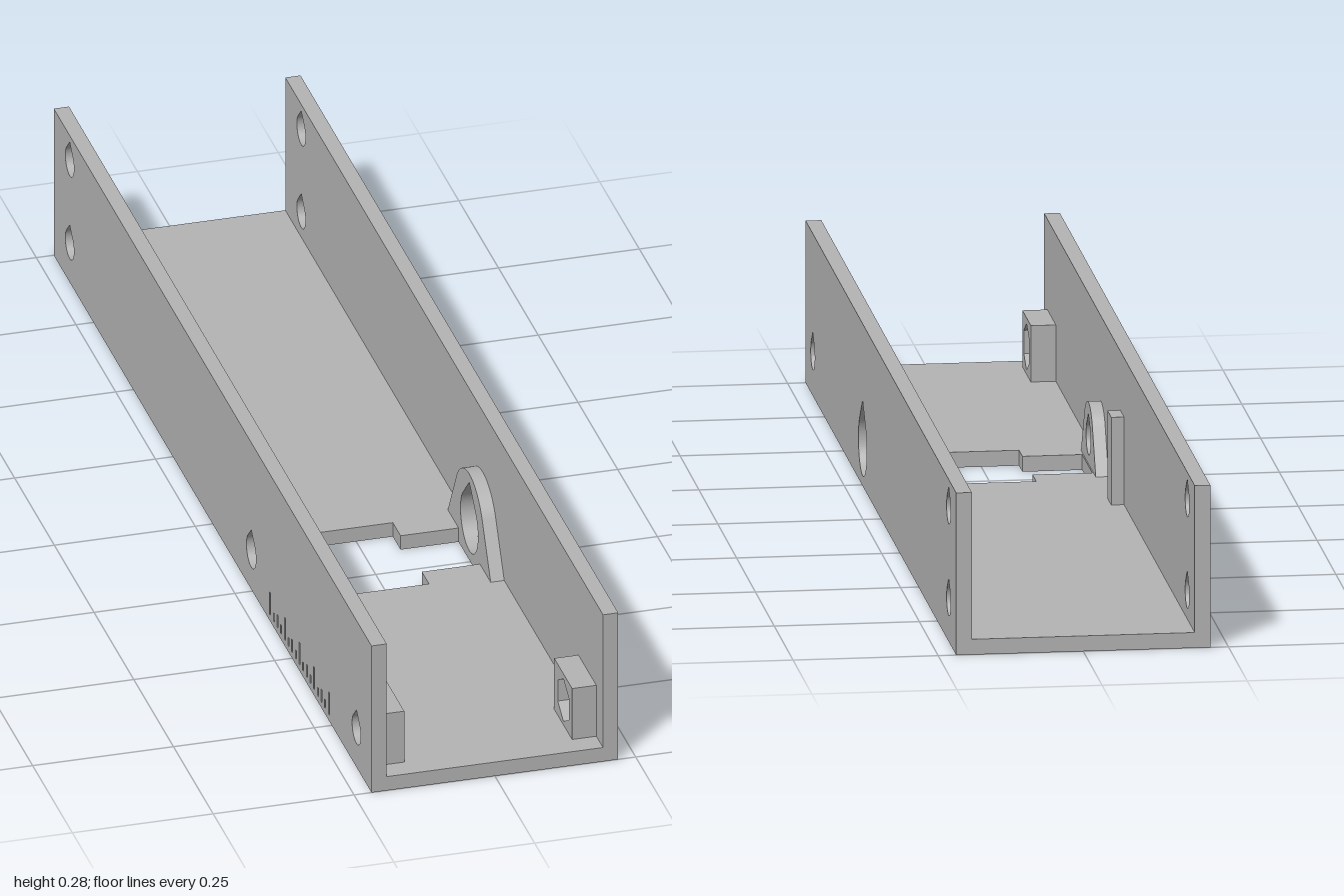
import * as THREE from 'three';

const HALF = 0.219, INNER = 0.192, HEIGHT = 0.285, FLOOR = 0.027;
const HOLE_Y = 0.073, PIVOT_Z = 0.243, MOUNT_Z = 0.9;

// Side profiles are drawn with u = -z and v = y, then extruded along x.
const polygon = (Type, points) => new Type(points.map(([u, v]) => new THREE.Vector2(u, v)));
const rect = (Type, u0, u1, v0, v1) => polygon(Type, [[u0, v0], [u1, v0], [u1, v1], [u0, v1]]);

// Round hole with a 45 degree pointed top
function teardrop(z, y, r) {
  const path = new THREE.Path();
  path.absarc(-z, y, r, Math.PI * 0.75, Math.PI * 2.25, false);
  path.lineTo(-z, y + r * Math.SQRT2);
  path.closePath();
  return path;
}

function hexagon(z, y, r) {
  return polygon(THREE.Path, Array.from({ length: 6 }, (_, i) => {
    const a = Math.PI / 6 + i * Math.PI / 3;
    return [-z + r * Math.cos(a), y + r * Math.sin(a)];
  }));
}

export function createModel() {
  const group = new THREE.Group();
  group.name = 'channelBracket';
  const grey = new THREE.MeshStandardMaterial({ color: 0xb3b3b3 });
  grey.name = 'grey plastic';

  function add(name, geometry) {
    const mesh = new THREE.Mesh(geometry, grey);
    mesh.name = name;
    group.add(mesh);
    return mesh;
  }

  function slab(name, shape, holes, x0, x1) {
    shape.holes.push(...holes);
    const geometry = new THREE.ExtrudeGeometry(shape, { depth: x1 - x0, bevelEnabled: false, curveSegments: 32 });
    return add(name, geometry.rotateY(Math.PI / 2).translate(x0, 0, 0));
  }

  // Floor with a stepped cross-shaped opening
  const floor = rect(THREE.Shape, -INNER, INNER, -1, 1);
  const z0 = PIVOT_Z - 0.067, z1 = PIVOT_Z + 0.067;
  const zA = PIVOT_Z - 0.116, zB = PIVOT_Z + 0.112;
  const s = 0.065, xl = -0.168, xr = INNER - 0.0005;
  floor.holes.push(polygon(THREE.Path, [
    [xl, z0], [-s, z0], [-s, zA], [s, zA], [s, z0], [xr, z0],
    [xr, z1], [s, z1], [s, zB], [-s, zB], [-s, z1], [xl, z1],
  ]));
  add('floor', new THREE.ExtrudeGeometry(floor, { depth: FLOOR, bevelEnabled: false })
    .rotateX(Math.PI / 2).translate(0, FLOOR, 0));

  // Side walls with mounting holes
  const wall = () => rect(THREE.Shape, -1, 1, 0, HEIGHT);
  const wallHoles = (pivotRadius) => [
    teardrop(MOUNT_Z + 0.005, HOLE_Y, 0.027),
    teardrop(-MOUNT_Z, HOLE_Y, 0.027),
    teardrop(-MOUNT_Z, 0.234, 0.027),
    teardrop(PIVOT_Z, HOLE_Y, pivotRadius),
  ];
  slab('leftWall', wall(), wallHoles(0.055), INNER, HALF);
  slab('rightWall', wall(), wallHoles(0.03), -HALF + 0.003, -INNER);

  // Outer skin of the right wall, engraved with a measuring scale
  const ticks = [];
  for (let i = 0; i <= 16; i++) {
    const z = 0.362 + i * 0.0231;
    const top = i % 4 === 0 ? 0.055 : i % 2 === 0 ? 0.036 : 0.028;
    ticks.push(rect(THREE.Path, -z - 0.003, -z + 0.003, 0.012, top));
  }
  slab('rightWallScale', wall(), [...wallHoles(0.03), ...ticks], -HALF, -HALF + 0.003);

  // Tapered bosses with rounded tops around the pivot holes
  function boss(name, r, holeRadius, base, x0, x1) {
    const u = -PIVOT_Z, foot = (r + (HOLE_Y - FLOOR) * 0.5) / Math.cos(Math.PI / 6);
    const shape = new THREE.Shape();
    shape.moveTo(u - foot, base);
    shape.lineTo(u + foot, base);
    shape.lineTo(u + foot, FLOOR);
    shape.absarc(u, HOLE_Y, r, Math.PI / 6, Math.PI * 5 / 6, false);
    shape.lineTo(u - foot, FLOOR);
    shape.closePath();
    slab(name, shape, [teardrop(PIVOT_Z, HOLE_Y, holeRadius)], x0, x1);
  }
  boss('leftPivotBoss', 0.094, 0.055, 0, 0.168, INNER);
  boss('rightPivotBoss', 0.062, 0.03, FLOOR - 0.002, -INNER, -0.17);

  // Nut holders at the front mounting holes
  for (const [name, x0, x1] of [['leftNutHolder', 0.149, INNER], ['rightNutHolder', -INNER, -0.149]]) {
    slab(name, rect(THREE.Shape, -0.958, -0.845, FLOOR, 0.126),
      [hexagon(MOUNT_Z + 0.003, HOLE_Y + 0.002, 0.041)], x0, x1);
  }

  // Upright stop on the right wall
  add('stopPost', new THREE.BoxGeometry(0.022, 0.181 - FLOOR, 0.05))
    .position.set(-0.181, (0.181 + FLOOR) / 2, -0.036);

  return group;
}
